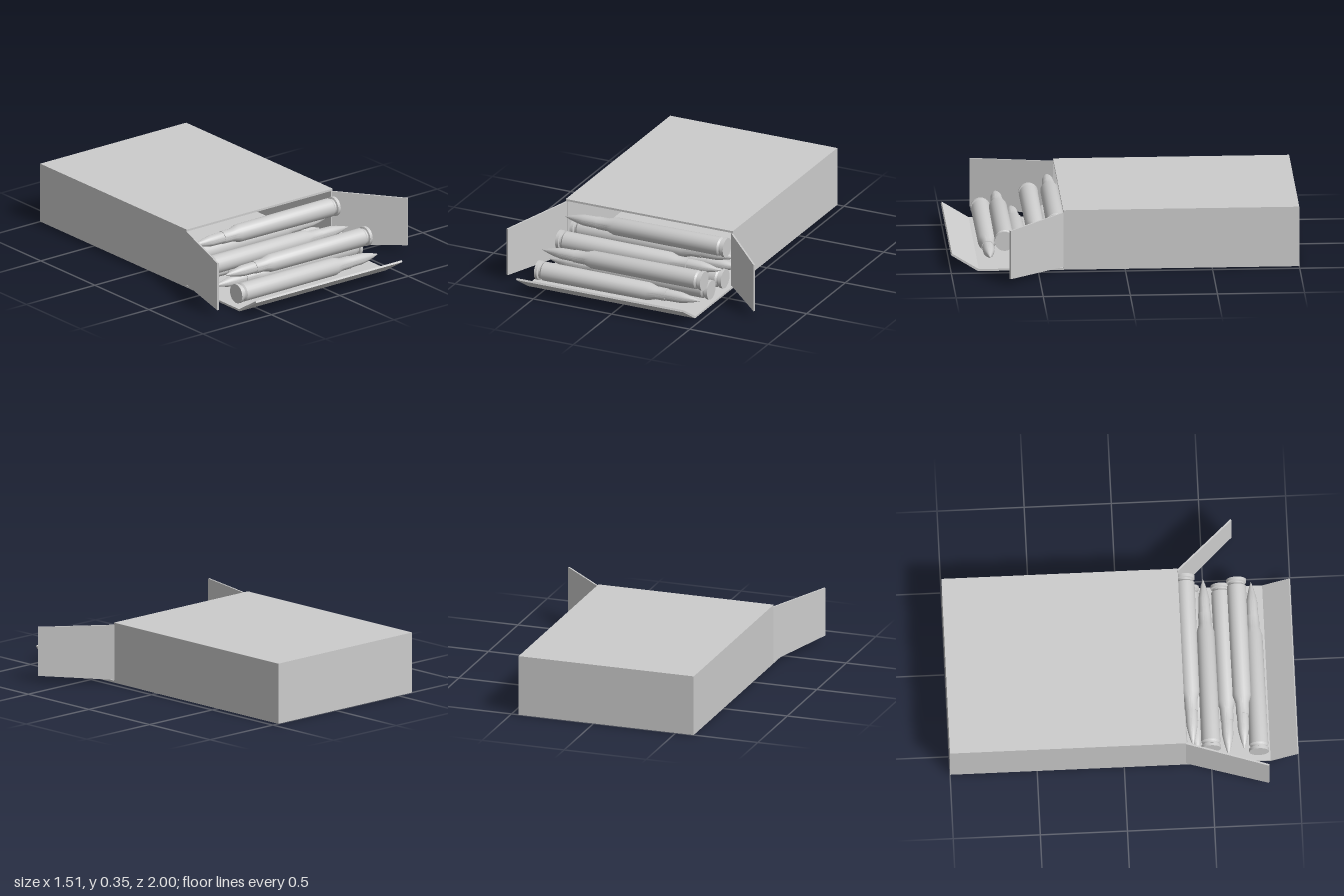
import * as THREE from 'three';
import { toCreasedNormals } from 'three/addons/utils/BufferGeometryUtils.js';

const material = new THREE.MeshStandardMaterial({ color: 0xcccccc, side: THREE.DoubleSide });
const X0 = -0.61, X1 = 0.457, HEIGHT = 0.355, BACK = -1, MOUTH = 0.355, WALL = 0.012;

function polygon(points) {
  return new THREE.Shape(points.map(([x, y]) => new THREE.Vector2(x, y)));
}

function extrude(shape, depth) {
  return new THREE.ExtrudeGeometry(shape, { depth, bevelEnabled: false });
}

function addMesh(parent, name, geometry) {
  const mesh = new THREE.Mesh(geometry, material);
  mesh.name = name;
  parent.add(mesh);
  return mesh;
}

function rectangle(x0, y0, x1, y1) {
  return [[x0, y0], [x1, y0], [x1, y1], [x0, y1]];
}

// Upright side flap, swung outward from a hinge at the box mouth
function addSideFlap(parent, name, hingeX, endX, endZ) {
  const dx = endX - hingeX, dz = endZ - MOUTH, length = Math.hypot(dx, dz);
  const shape = polygon([[0, 0.017], [length, 0.035], [length, 0.323], [0, 0.341]]);
  const geometry = extrude(shape, 0.01).translate(0, 0, -0.005);
  const flap = addMesh(parent, name, geometry);
  flap.position.set(hingeX, 0, MOUTH);
  flap.rotation.y = Math.atan2(-dz, dx);
}

export function createModel() {
  const model = new THREE.Group();
  model.name = 'cartridgeBox';

  // Carton: open sleeve plus back wall
  const sleeve = polygon(rectangle(X0, 0, X1, HEIGHT));
  sleeve.holes.push(polygon(rectangle(X0 + WALL, WALL, X1 - WALL, HEIGHT - WALL).reverse()));
  addMesh(model, 'boxSleeve', extrude(sleeve, MOUTH - BACK).translate(0, 0, BACK));
  addMesh(model, 'boxBack', new THREE.BoxGeometry(X1 - X0 - 2 * WALL, HEIGHT - 2 * WALL, WALL)
    .translate((X0 + X1) / 2, HEIGHT / 2, BACK + WALL / 2));

  // Lower flap lying forward, with its lip bent up
  const flapProfile = polygon([
    [MOUTH, 0], [0.845, 0], [1, 0.097], [0.994, 0.107], [0.84, WALL], [MOUTH, WALL],
  ]);
  addMesh(model, 'lowerFlap', extrude(flapProfile, X1 - X0).rotateY(-Math.PI / 2).translate(X1, 0, 0));

  // Side flaps
  addSideFlap(model, 'leftFlap', X1 - 0.005, 0.752, 0.675);
  addSideFlap(model, 'rightFlap', X0 + 0.005, -0.752, 0.825);

  // Cartridge: rim, groove, case, shoulder, neck and pointed bullet
  const profile = [
    [0, 0], [0.057, 0], [0.057, 0.018], [0.047, 0.022], [0.047, 0.032], [0.055, 0.042],
    [0.052, 0.71], [0.038, 0.755], [0.037, 0.825], [0.034, 0.825], [0.032, 0.91],
    [0.025, 0.95], [0.014, 0.995], [0, 1.037],
  ].map(([r, y]) => new THREE.Vector2(r, y));
  const cartridge = toCreasedNormals(new THREE.LatheGeometry(profile, 24), 0.45);

  // Loose stack: [z, y, direction of tip along x]
  const stack = [
    [0.775, 0.08, 1], [0.6, 0.08, -1], [0.42, 0.08, -1], [0.24, 0.08, 1],
    [0.69, 0.17, -1], [0.5, 0.165, 1], [0.31, 0.17, 1],
    [0.395, 0.265, -1],
  ];
  const cartridges = new THREE.Group();
  cartridges.name = 'cartridges';
  for (const [z, y, direction] of stack) {
    const mesh = addMesh(cartridges, 'cartridge', cartridge);
    mesh.position.set(direction > 0 ? -0.58 : 0.44, y, z);
    mesh.rotation.z = -direction * Math.PI / 2;
  }
  model.add(cartridges);
  return model;
}
